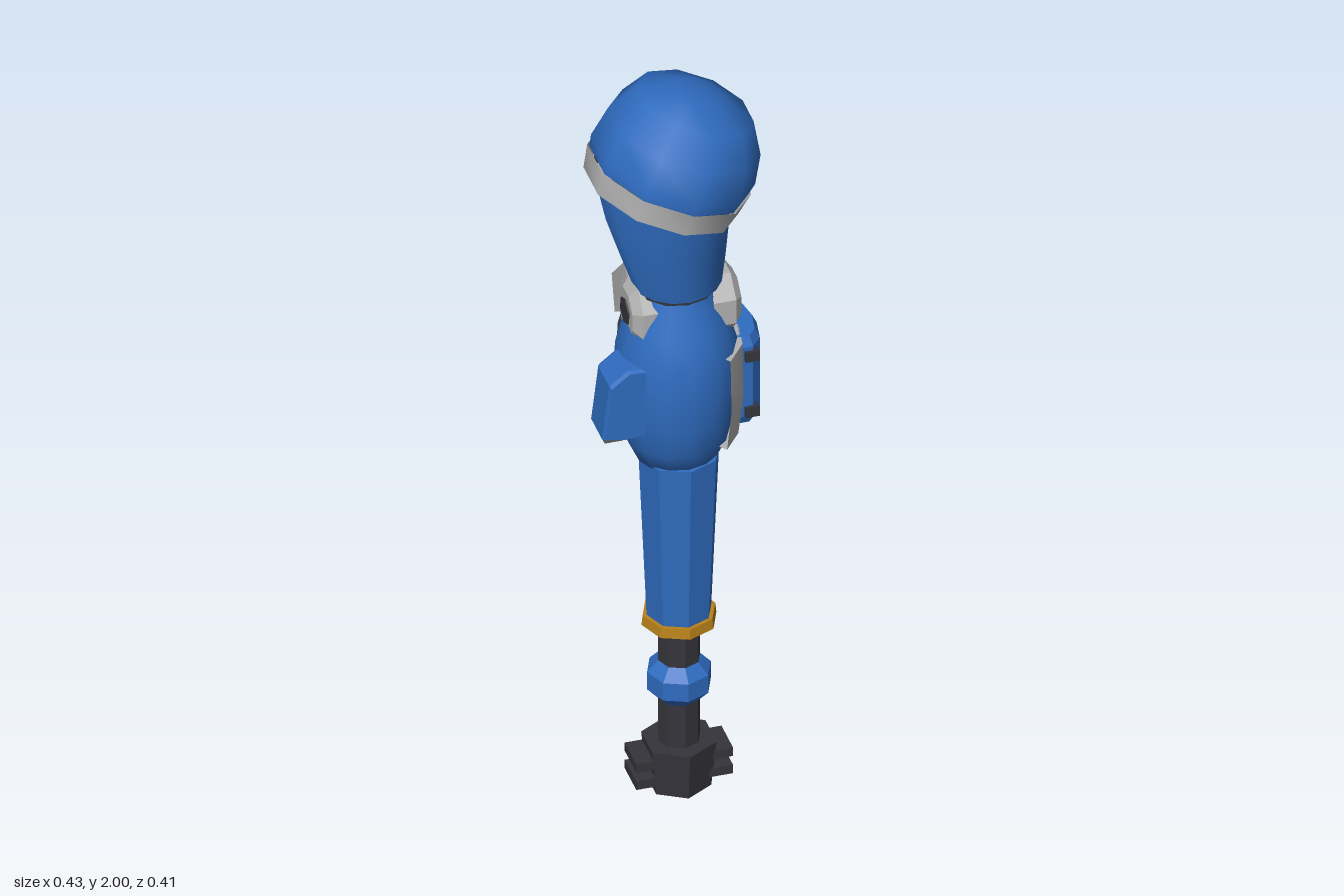
import * as THREE from 'three';
import { toCreasedNormals } from 'three/addons/utils/BufferGeometryUtils.js';
import { ConvexGeometry } from 'three/addons/geometries/ConvexGeometry.js';

const mat = (name, color, extra = {}) => new THREE.MeshStandardMaterial({ name, color, ...extra });
const rad = THREE.MathUtils.degToRad;

export function createModel() {
  const model = new THREE.Group();
  model.name = 'mechanicalArm';

  const two = { side: THREE.DoubleSide };
  const blue = mat('blue', 0x2f6cc0, two);
  const lightGrey = mat('light grey', 0xb2b2b2, two);
  const darkGrey = mat('dark grey', 0x5c5d60, two);
  const black = mat('charcoal', 0x35343b, two);
  const ochre = mat('ochre', 0xb8821a, two);

  const add = (name, geometry, material, x = 0, y = 0, z = 0, parent = model) => {
    const mesh = new THREE.Mesh(geometry, material);
    mesh.name = name;
    mesh.position.set(x, y, z);
    parent.add(mesh);
    return mesh;
  };

  // Turned profile ([radius, height] pairs), optionally only an arc in degrees (0 = front, 90 = +x)
  const turned = (points, sides, from = 0, to = 360, crease = 0.9) =>
    toCreasedNormals(new THREE.LatheGeometry(points.map(p => new THREE.Vector2(...p)),
      sides, rad(from), rad(to - from)), crease);

  // Flat-faced column standing between two heights
  const column = (rTop, rBottom, y0, y1, sides) =>
    toCreasedNormals(new THREE.CylinderGeometry(rTop, rBottom, y1 - y0, sides)
      .translate(0, (y0 + y1) / 2, 0), 0.3);

  // Tilted shoulder cap with its rim
  const shoulder = new THREE.Group();
  shoulder.name = 'shoulder';
  shoulder.position.set(-0.03, 1.71, 0);
  shoulder.rotation.z = rad(-20);
  model.add(shoulder);
  add('shoulderDome', turned([[0.2, 0.06], [0.206, 0.09], [0.192, 0.17], [0.147, 0.25],
    [0.06, 0.286], [0, 0.29]], 10), blue, 0, 0, 0, shoulder);
  add('shoulderRim', turned([[0.14, 0.012], [0.194, 0], [0.206, 0.062]], 10), lightGrey, 0, 0, 0, shoulder);

  // Upper arm, leaning towards -x as it rises
  const lean = g => {
    const p = g.attributes.position;
    for (let i = 0; i < p.count; i++) p.setX(i, p.getX(i) - (p.getY(i) - 1.46) * 0.12);
    return g;
  };
  const upper = [[0.105, 1.45], [0.125, 1.54], [0.147, 1.65], [0.16, 1.79]];
  add('upperArmFront', lean(turned(upper, 10, -95, 150)), blue, 0.005, 0, 0.005);
  add('upperArmBack', lean(turned(upper, 5, 150, 265)), darkGrey, 0.005, 0, 0.005);
  add('upperArmShell', lean(turned(upper.map(([r, y]) => [r + 0.006, y + 0.006]), 6, -65, 65)),
    blue, 0.005, 0, 0.005);
  add('upperArmBase', column(0.1, 0.1, 1.44, 1.455, 12), black, 0.005, 0, 0.005);

  // Elbow discs on each side
  for (const side of [1, -1]) {
    const name = side > 0 ? 'left' : 'right';
    const disc = new THREE.Group();
    disc.name = name + 'ElbowJoint';
    disc.position.set(0.018, 1.38, 0);
    disc.rotation.z = -side * Math.PI / 2;
    disc.rotation.order = 'ZYX';
    disc.rotation.y = rad(22.5);
    model.add(disc);
    add(name + 'ElbowDisc', column(0.088, 0.088, 0.06, 0.115, 8), lightGrey, 0, 0, 0, disc);
    add(name + 'ElbowBevel', column(0.06, 0.088, 0.115, 0.135, 8), lightGrey, 0, 0, 0, disc);
    add(name + 'ElbowBolt', column(0.035, 0.035, 0.1, 0.139, 6), black, 0, 0, 0, disc);
  }

  // Pointed elbow guard at the back
  const guardPoints = [];
  for (const s of [1, -1]) {
    for (const [w, y, z] of [[0.12, 1.475, -0.065], [0.05, 1.37, -0.2], [0.12, 1.37, -0.17],
      [0.12, 1.275, -0.145], [0.11, 1.34, -0.05]]) {
      guardPoints.push(new THREE.Vector3(0.02 + s * w, y, z));
    }
  }
  add('elbowGuard', new ConvexGeometry(guardPoints), lightGrey);

  // Forearm bulge with rear panel
  add('forearm', turned([[0, 0.945], [0.06, 0.945], [0.1, 0.96], [0.128, 1.02], [0.144, 1.1], [0.15, 1.19],
    [0.145, 1.28], [0.125, 1.35], [0.1, 1.41], [0.085, 1.46]], 14), blue, 0.005, 0, 0.01);
  add('forearmBackPanel', turned([[0.152, 1.12], [0.156, 1.19], [0.151, 1.28], [0.135, 1.34]], 5, 130, 228),
    darkGrey, 0.005, 0, 0.005);

  // Mounting plate wrapping the +x side
  add('mountPlate', turned([[0.125, 1.015], [0.153, 1.015], [0.166, 1.13], [0.163, 1.275], [0.13, 1.275]],
    4, 38, 150, 0.5), lightGrey, 0.003, 0, 0.003);

  // Side pod: plan outline extruded upwards, with bolts at its corners
  const podPlan = new THREE.Shape([[0.12, -0.042], [0.178, -0.04], [0.198, -0.016], [0.208, 0.04],
    [0.198, 0.1], [0.166, 0.13], [0.12, 0.128]].map(p => new THREE.Vector2(...p)));
  const pod = new THREE.ExtrudeGeometry(podPlan, { depth: 0.2, bevelEnabled: true,
    bevelSegments: 1, bevelSize: 0.012, bevelThickness: 0.025 }).rotateX(-Math.PI / 2);
  add('sidePod', pod, blue, 0, 1.05, 0);
  for (const y of [1.065, 1.225]) {
    add('podFrontBolt', new THREE.BoxGeometry(0.035, 0.028, 0.025), black, 0.18, y, 0.048);
    add('podBackBolt', new THREE.BoxGeometry(0.04, 0.028, 0.025), black, 0.177, y, -0.132);
  }

  // Fin on the -x side
  const finShape = new THREE.Shape([[-0.1, 1.27], [-0.14, 1.272], [-0.183, 1.238], [-0.2, 1.095],
    [-0.15, 1.085], [-0.1, 1.09]].map(p => new THREE.Vector2(...p)));
  add('sideFin', new THREE.ExtrudeGeometry(finShape, { depth: 0.09, bevelEnabled: true,
    bevelSegments: 1, bevelSize: 0.005, bevelThickness: 0.01 }), blue, 0, 0, 0.01);
  add('finFoot', new THREE.BoxGeometry(0.045, 0.012, 0.07), darkGrey, -0.175, 1.08, 0.06);

  // Lower sleeve, cuff ring, rod and knuckle share one axis
  const lower = new THREE.Group();
  lower.name = 'lowerArm';
  lower.position.set(0.007, 0, 0.027);
  model.add(lower);
  const low = (name, g, m) => add(name, g, m, 0, 0, 0, lower);
  low('sleeve', column(0.1, 0.08, 0.5, 0.97, 8), blue);
  low('cuffRing', column(0.09, 0.093, 0.48, 0.507, 8), ochre);
  low('rod', column(0.052, 0.052, 0.1, 0.49, 8), black);
  low('knuckle', toCreasedNormals(new THREE.LatheGeometry([[0.05, 0.258], [0.079, 0.29], [0.079, 0.34],
    [0.05, 0.372]].map(p => new THREE.Vector2(...p)), 8), 0.3), blue);

  // Tool head with stacked prongs
  low('toolHead', column(0.092, 0.079, 0.01, 0.137, 6), black);
  low('toolTip', column(0.04, 0.035, 0, 0.02, 6), darkGrey);
  for (const y of [0.05, 0.1]) {
    low('prongs', new THREE.BoxGeometry(0.24, 0.024, 0.095).translate(0, y, 0), black);
  }
  return model;
}
